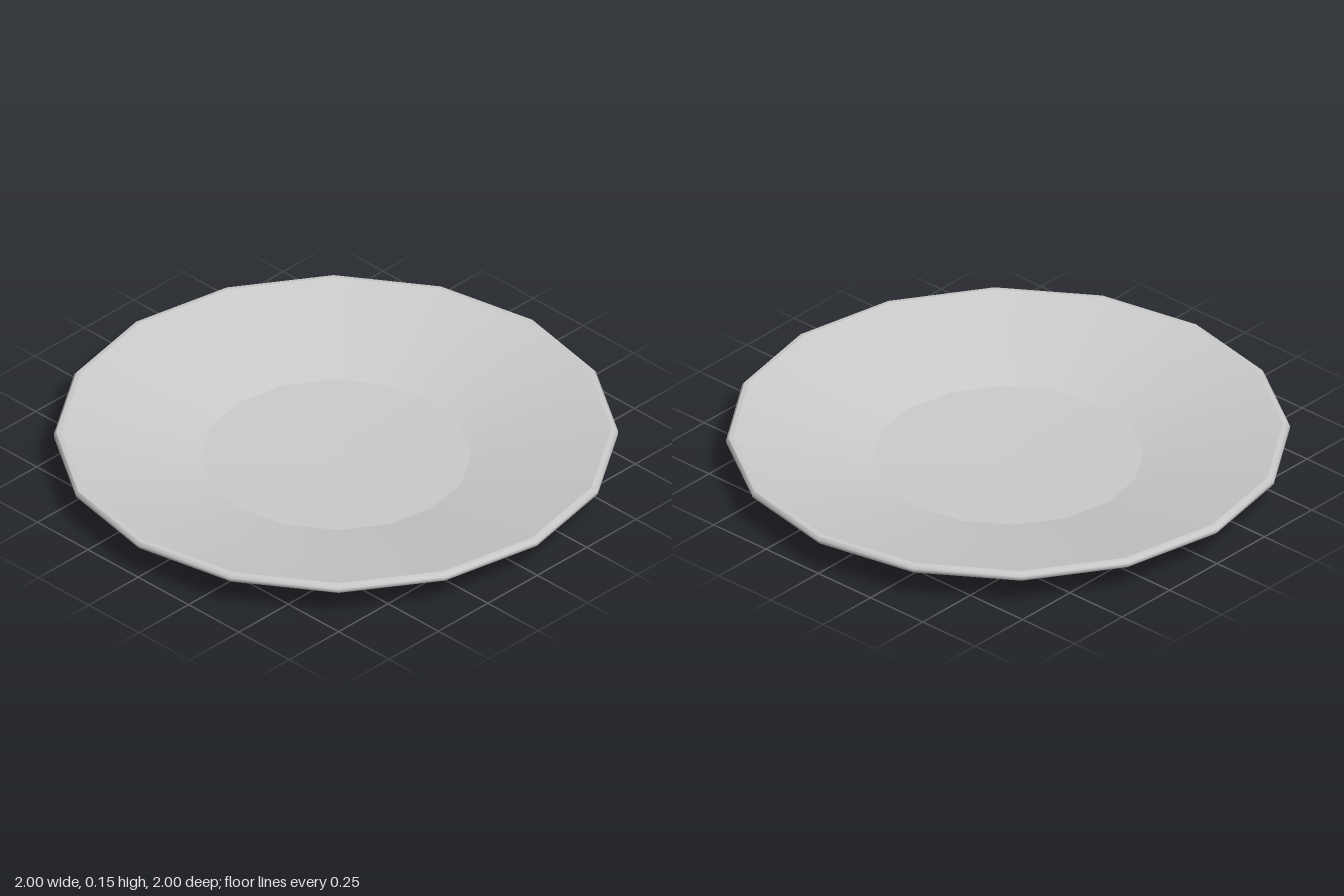
import * as THREE from 'three';

const SIDES = 16;

export function createModel() {
  const plate = new THREE.Group();
  plate.name = 'plate';
  const material = new THREE.MeshStandardMaterial({ color: 0xcccccc });

  // Each band is smooth around the axis, with a crisp edge where bands meet
  const addBand = (name, profile) => {
    const points = profile.map(([r, y]) => new THREE.Vector2(r, y));
    const mesh = new THREE.Mesh(new THREE.LatheGeometry(points, SIDES), material);
    mesh.name = name;
    plate.add(mesh);
  };

  // Profiles run from the bottom centre, out around the rim and back in
  addBand('base', [[0, 0], [0.6, 0.03]]);
  addBand('underside', [[0.6, 0.03], [0.99, 0.118]]);
  addBand('rimEdge', [[0.99, 0.118], [1, 0.127], [1, 0.139], [0.992, 0.148]]);
  addBand('rimTop', [[0.992, 0.148], [0.976, 0.15]]);
  addBand('innerSlope', [[0.976, 0.15], [0.48, 0.045]]);
  addBand('floor', [[0.48, 0.045], [0, 0.035]]);

  return plate;
}
